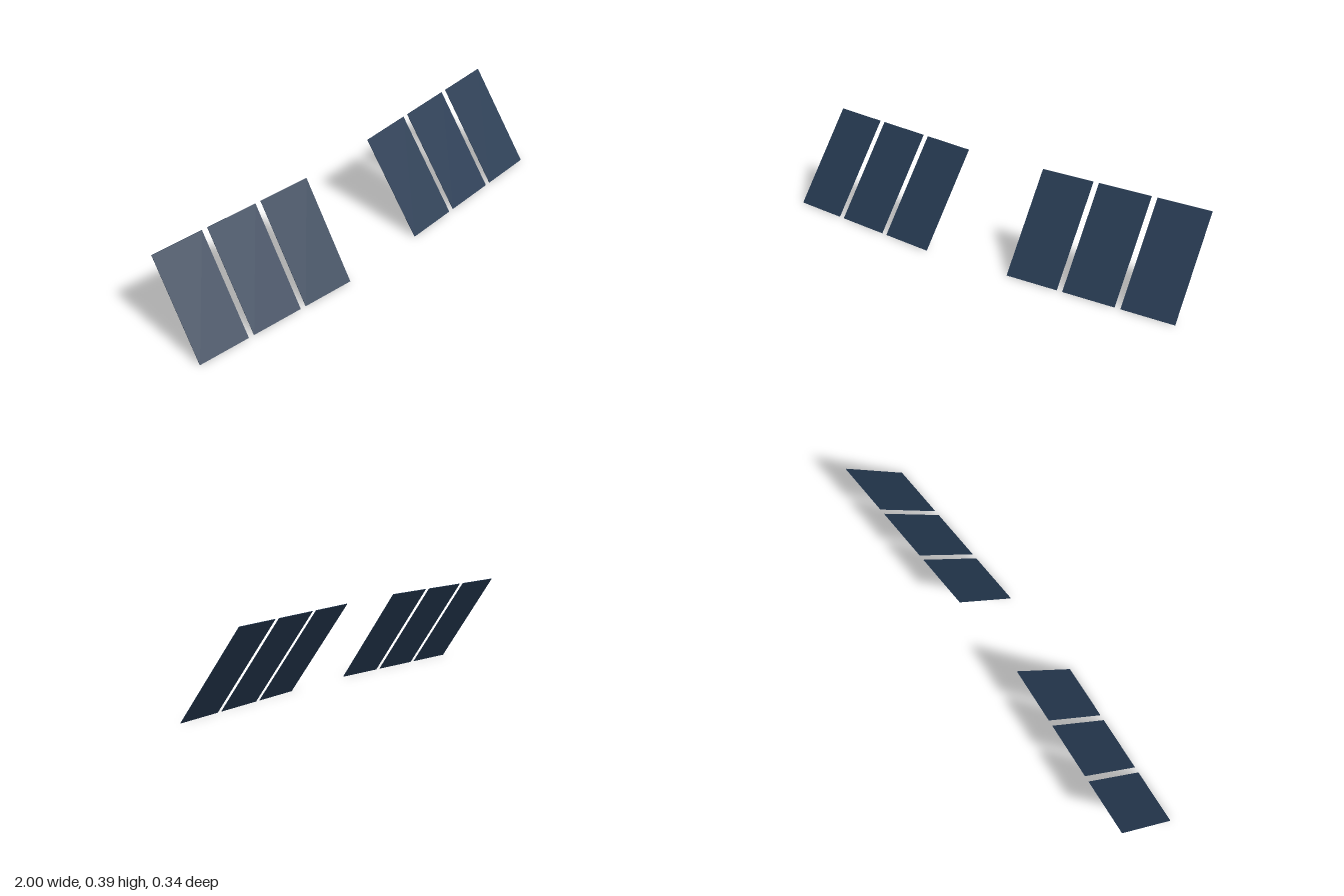
import * as THREE from 'three';

export function createModel() {
  const model = new THREE.Group();
  model.name = 'panelArrays';
  const navy = new THREE.MeshStandardMaterial({ color: 0x263a52 });
  navy.name = 'navy panel';

  const tilt = THREE.MathUtils.degToRad(35);
  const thickness = 0.002;
  const height = 0.39, width = 0.246, step = 0.273;
  const slab = new THREE.BoxGeometry(width, height / Math.cos(tilt) - thickness, thickness);

  // A bank of three thin slabs leaning back, turned slightly about the vertical
  function bank(name, x, turnDegrees) {
    const group = new THREE.Group();
    group.name = name;
    for (let i = -1; i <= 1; i++) {
      const panel = new THREE.Mesh(slab, navy);
      panel.name = 'panel' + (i + 2);
      panel.position.x = i * step;
      panel.rotation.x = -tilt;
      group.add(panel);
    }
    group.position.set(x, height / 2, 0);
    group.rotation.y = THREE.MathUtils.degToRad(turnDegrees);
    model.add(group);
  }

  bank('leftBank', 0.597, 2.8);
  bank('rightBank', -0.597, -4.6);
  return model;
}
